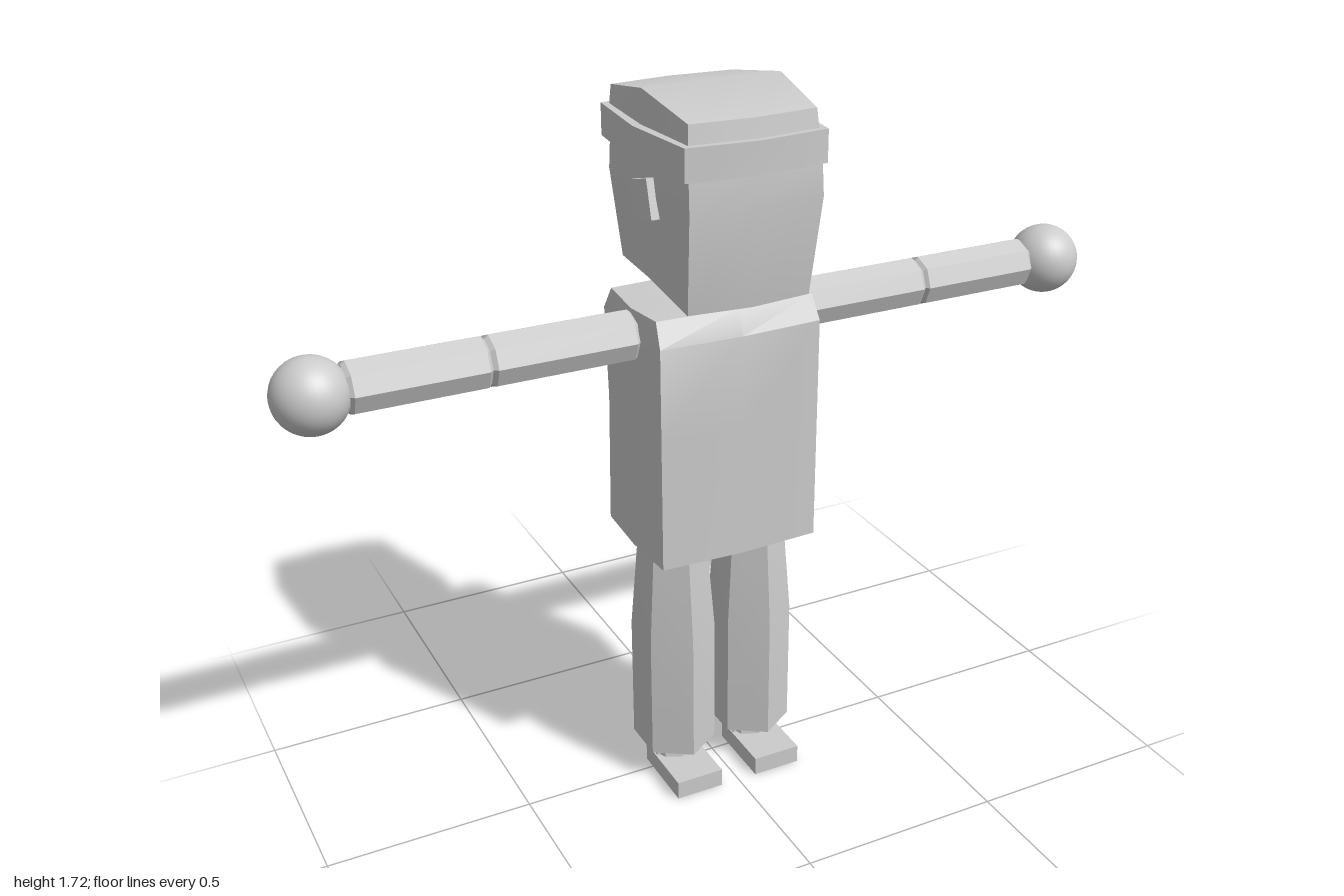
import * as THREE from 'three';
import { toCreasedNormals } from 'three/addons/utils/BufferGeometryUtils.js';

const CREASE = 0.5;

// Skin a closed shape through rings that run from +z towards +x, bottom ring first.
function loft(rings, bottomY, topY) {
  const n = rings[0].length;
  const pos = rings.flat(2);
  const index = [];
  for (let j = 0; j < rings.length - 1; j++) {
    for (let i = 0; i < n; i++) {
      const k = (i + 1) % n;
      const a = j * n + i, b = j * n + k;
      index.push(a, b, b + n, a, b + n, a + n);
    }
  }
  const bottom = pos.length / 3, top = bottom + 1, last = (rings.length - 1) * n;
  pos.push(0, bottomY, 0, 0, topY, 0);
  for (let i = 0; i < n; i++) {
    const k = (i + 1) % n;
    index.push(bottom, k, i, top, last + i, last + k);
  }
  const geo = new THREE.BufferGeometry();
  geo.setAttribute('position', new THREE.Float32BufferAttribute(pos, 3));
  geo.setIndex(index);
  return toCreasedNormals(geo, CREASE);
}

// Rounded-out rectangle: w = half width, corners pulled in by dx and dz.
function ring(w, zf, zb, yf, ym = yf, yb = yf, dx = 0.01, dz = 0.015) {
  const c = w - dx;
  return [
    [0, yf, zf], [c, yf, zf - dz], [w, ym, 0], [c, yb, zb + dz],
    [0, yb, zb], [-c, yb, zb + dz], [-w, ym, 0], [-c, yf, zf - dz],
  ];
}

// Faceted column turned from a [radius, y] profile.
function column(profile, sides, sx = 1, sz = 1) {
  const pts = profile.map(([r, y]) => new THREE.Vector2(r, y));
  const geo = new THREE.LatheGeometry(pts, sides);
  geo.scale(sx, 1, sz);
  geo.deleteAttribute('normal');
  geo.deleteAttribute('uv');
  return toCreasedNormals(geo, CREASE);
}

export function createModel() {
  const model = new THREE.Group();
  model.name = 'blockFigure';
  const grey = new THREE.MeshStandardMaterial({ color: 0xcccccc });
  grey.name = 'plainGrey';

  const add = (name, geo, x = 0, y = 0, z = 0) => {
    const mesh = new THREE.Mesh(geo, grey);
    mesh.name = name;
    mesh.position.set(x, y, z);
    model.add(mesh);
    return mesh;
  };

  // Torso with chamfered shoulders and a slightly hollow back
  add('torso', loft([
    ring(0.205, 0.15, -0.16, 0.65, 0.65, 0.65, 0.008, 0.008),
    ring(0.205, 0.15, -0.148, 0.97, 0.97, 0.97, 0.008, 0.008),
    ring(0.205, 0.15, -0.162, 1.19, 1.2, 1.19, 0.008, 0.008),
    ring(0.2, 0.12, -0.13, 1.245, 1.24, 1.245, 0.008, 0.008),
  ], 0.65, 1.253));

  // Neck
  add('neck', column([[0, 1.2], [0.08, 1.2], [0.08, 1.36], [0, 1.36]], 8), 0, 0, -0.01);

  // Head with a lower chin at the front
  add('head', loft([
    ring(0.157, 0.19, -0.17, 1.272, 1.305, 1.305),
    ring(0.168, 0.223, -0.208, 1.5),
    ring(0.166, 0.215, -0.2, 1.6),
  ], 1.305, 1.6));

  // Cap: band and crown
  add('capBand', loft([
    ring(0.187, 0.222, -0.227, 1.57, 1.57, 1.57, 0.02, 0.017),
    ring(0.187, 0.222, -0.227, 1.643, 1.643, 1.643, 0.02, 0.017),
  ], 1.57, 1.643));
  add('capCrown', loft([
    ring(0.167, 0.207, -0.212, 1.63, 1.63, 1.63, 0.014, 0.014),
    ring(0.165, 0.198, -0.205, 1.685, 1.72, 1.685, 0.016, 0.012),
  ], 1.63, 1.72));

  const forearm = [[0, 0.54], [0.052, 0.54], [0.06, 0.548], [0.06, 0.838], [0.052, 0.848], [0, 0.848]];
  const upperArm = [[0, 0.19], [0.052, 0.2], [0.06, 0.21], [0.06, 0.53], [0.052, 0.54], [0, 0.54]];
  const thigh = [[0, 0.077], [0.1, 0.077], [0.11, 0.083], [0.11, 0.4], [0.087, 0.66], [0, 0.66]];

  for (const [side, s] of [['left', 1], ['right', -1]]) {
    // Ear, tilted back
    const ear = add(side + 'Ear', new THREE.BoxGeometry(0.035, 0.088, 0.079), s * 0.167, 1.49, 0.026);
    ear.rotation.set(-0.27, s * -0.06, 0);

    // Straight arm with a ball hand
    for (const [name, profile] of [['UpperArm', upperArm], ['Forearm', forearm]]) {
      add(side + name, column(profile, 8), 0, 1.178, 0).rotation.z = -s * Math.PI / 2;
    }
    add(side + 'Hand', new THREE.SphereGeometry(0.084, 32, 20), s * 0.916, 1.178, 0.005);

    // Six-sided leg
    add(side + 'Leg', column(thigh, 6, 0.9), s * 0.104, 0, -0.005);

    // Ankle narrowing upwards
    add(side + 'Ankle', column([[0, 0.035], [0.064, 0.035], [0.062, 0.05], [0.05, 0.1], [0, 0.1]], 8, 0.95, 1.02),
      s * 0.107, 0, -0.01);

    // Flat foot with clipped heel corners
    const sole = new THREE.Shape([
      [-0.06, -0.146], [0.06, -0.146], [0.06, 0.036], [0.038, 0.075], [-0.038, 0.075], [-0.06, 0.036],
    ].map(([x, y]) => new THREE.Vector2(x, y)));
    const foot = new THREE.ExtrudeGeometry(sole, { depth: 0.046, bevelEnabled: false });
    add(side + 'Foot', foot, s * 0.107).rotation.x = -Math.PI / 2;

    // Heel block rising into the leg
    const heelShape = new THREE.Shape([
      [-0.056, -0.02], [0.056, -0.02], [0.056, 0.036], [0.036, 0.073], [-0.036, 0.073], [-0.056, 0.036],
    ].map(([x, y]) => new THREE.Vector2(x, y)));
    const heel = new THREE.ExtrudeGeometry(heelShape, { depth: 0.066, bevelEnabled: false });
    add(side + 'Heel', heel, s * 0.107).rotation.x = -Math.PI / 2;
  }
  return model;
}
